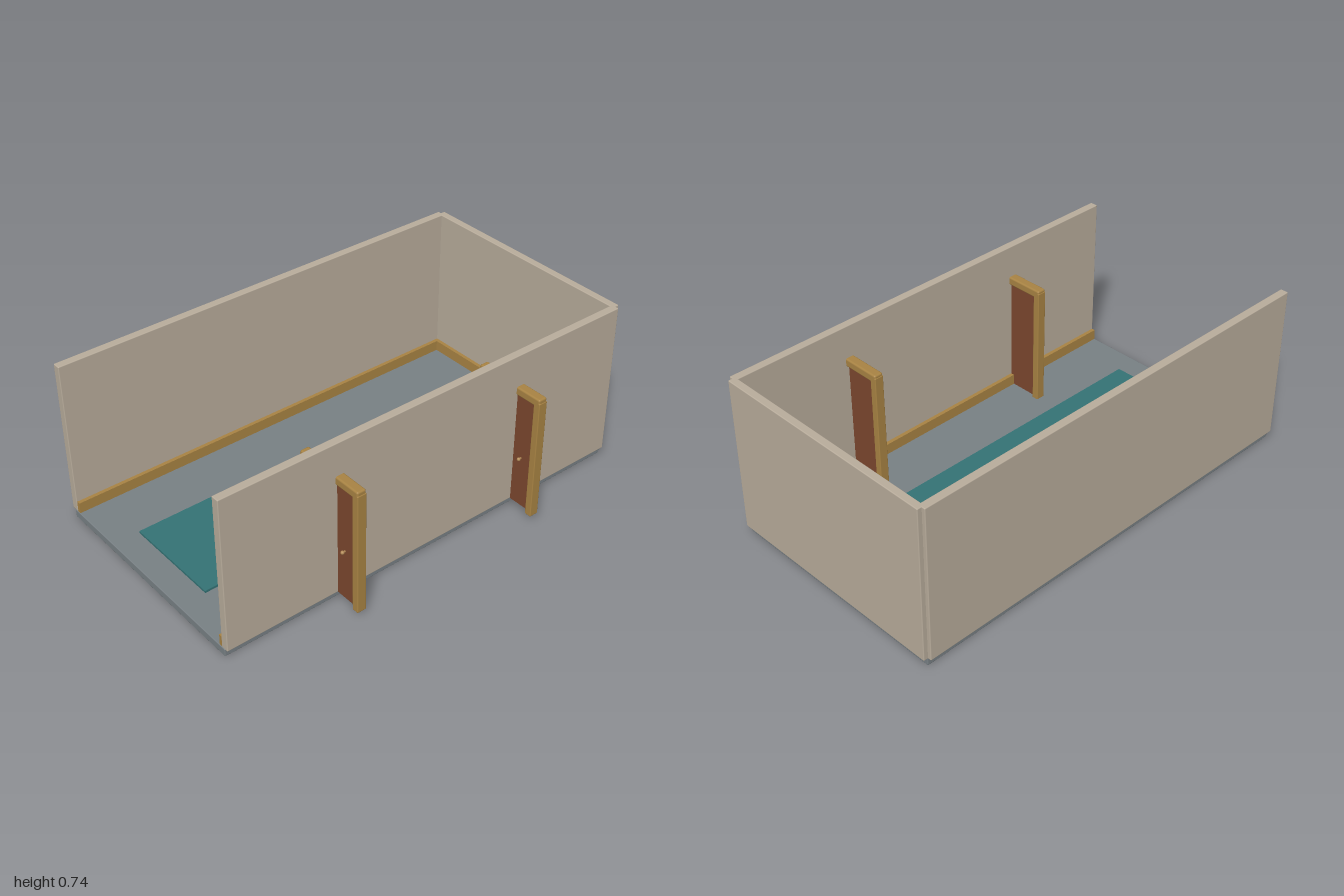
import * as THREE from 'three';
import { RoundedBoxGeometry } from 'three/addons/geometries/RoundedBoxGeometry.js';

const paint = (name, color) => {
  const m = new THREE.MeshStandardMaterial({ color });
  m.name = name;
  return m;
};

export function createModel() {
  const room = new THREE.Group();
  room.name = 'corridor';

  const plaster = paint('beige plaster', 0xb8ac9b);
  const stone = paint('grey floor', 0x788084);
  const carpet = paint('teal carpet', 0x347375);
  const trim = paint('golden wood', 0xa88343);
  const wood = paint('red brown wood', 0x7c472e);
  const brass = paint('brass', 0xb48c58);

  // Box given by its extents on each axis; a bevel softens the edges
  const box = (parent, name, mat, [x0, x1], [y0, y1], [z0, z1], bevel = 0) => {
    const size = [x1 - x0, y1 - y0, z1 - z0];
    const geo = bevel
      ? new RoundedBoxGeometry(...size, 2, bevel)
      : new THREE.BoxGeometry(...size);
    const mesh = new THREE.Mesh(geo, mat);
    mesh.name = name;
    mesh.position.set((x0 + x1) / 2, (y0 + y1) / 2, (z0 + z1) / 2);
    parent.add(mesh);
    return mesh;
  };

  // Floor slab and runner
  box(room, 'floor', stone, [-0.592, 0.463], [0, 0.036], [-0.98, 1], 0.004);
  box(room, 'runner', carpet, [-0.297, 0.165], [0.034, 0.046], [-0.865, 0.88]);

  // Walls, open at the front
  const wallY = [0.037, 0.738];
  box(room, 'rightWall', plaster, [-0.61, -0.574], wallY, [-0.98, 1], 0.004);
  box(room, 'leftWall', plaster, [0.445, 0.481], wallY, [-0.98, 1], 0.004);
  box(room, 'backWall', plaster, [-0.594, 0.463], wallY, [-1, -0.966], 0.004);

  // Baseboards
  const baseY = [0.034, 0.085];
  box(room, 'rightBaseboard', trim, [-0.576, -0.557], baseY, [-0.966, 0.997]);
  box(room, 'leftBaseboard', trim, [0.428, 0.447], baseY, [-0.966, 0.997]);
  box(room, 'backBaseboard', trim, [-0.574, 0.445], baseY, [-0.968, -0.949]);

  // Doors set across the left wall
  for (const z of [0.47, -0.44]) {
    const door = new THREE.Group();
    door.name = z > 0 ? 'frontDoor' : 'rearDoor';
    door.position.z = z;
    room.add(door);
    const depth = [-0.021, 0.021];
    box(door, 'innerJamb', trim, [0.267, 0.298], [0.018, 0.58], depth, 0.004);
    box(door, 'outerJamb', trim, [0.575, 0.607], [0.018, 0.575], depth, 0.004);
    box(door, 'header', trim, [0.269, 0.605], [0.554, 0.592], depth, 0.008);
    box(door, 'doorPanel', wood, [0.296, 0.577], [0.037, 0.556], [-0.008, 0.014]);

    // Knob on a short stem
    const stem = new THREE.Mesh(new THREE.CylinderGeometry(0.004, 0.004, 0.014, 10), brass);
    stem.name = 'knobStem';
    stem.rotation.x = Math.PI / 2;
    stem.position.set(0.525, 0.268, 0.02);
    const knob = new THREE.Mesh(new THREE.SphereGeometry(0.008, 12, 8), brass);
    knob.name = 'knob';
    knob.position.set(0.525, 0.268, 0.027);
    door.add(stem, knob);
  }

  return room;
}
